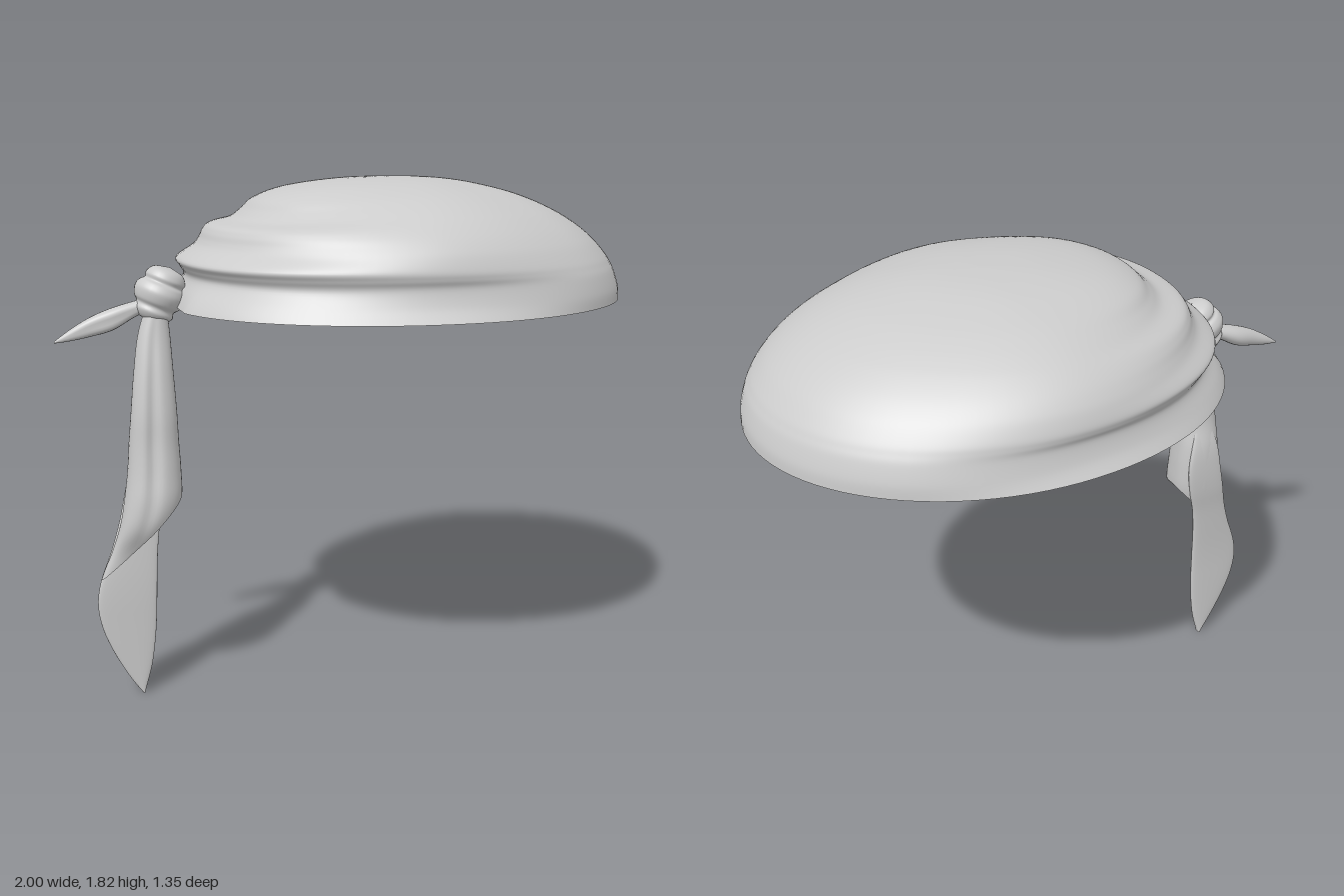
import * as THREE from 'three';
import { mergeVertices } from 'three/addons/utils/BufferGeometryUtils.js';

const TAU = Math.PI * 2;
const material = new THREE.MeshStandardMaterial({ color: 0xcccccc, side: THREE.DoubleSide });
const { smoothstep, lerp } = THREE.MathUtils;

// Smooth grid surface from point(u, v), u running around and v along, both 0..1
function loft(name, nu, nv, point) {
  const pos = [], index = [];
  for (let j = 0; j <= nv; j++)
    for (let i = 0; i <= nu; i++) pos.push(...point((i % nu) / nu, j / nv));
  for (let j = 0; j < nv; j++)
    for (let i = 0; i < nu; i++) {
      const a = j * (nu + 1) + i, b = a + 1, c = a + nu + 1, d = c + 1;
      index.push(a, c, b, b, c, d);
    }
  let geo = new THREE.BufferGeometry();
  geo.setAttribute('position', new THREE.Float32BufferAttribute(pos, 3));
  geo.setIndex(index);
  geo = mergeVertices(geo, 1e-5);
  geo.computeVertexNormals();
  const mesh = new THREE.Mesh(geo, material);
  mesh.name = name;
  return mesh;
}

// Smooth lookup through rows of [key, ...values]
function table(rows) {
  const n = rows[0].length - 1;
  const interp = new THREE.CubicInterpolant(rows.map(r => r[0]), rows.flatMap(r => r.slice(1)), n);
  return t => Array.from(interp.evaluate(t));
}

const spline = pts => new THREE.SplineCurve(pts.map(p => new THREE.Vector2(...p)));

// Cap profiles, rim to crown, as [fraction of rim radius, height]
const RIM = 1.407, TOP = 1.826;
const flankPoints = [[1, RIM], [.958, 1.45], [.935, 1.505], [.947, 1.535], [.95, 1.56],
  [.929, 1.6], [.901, 1.63], [.861, 1.66], [.807, 1.69], [.749, 1.715], [.659, 1.745],
  [.54, 1.775], [.36, 1.805], [.19, 1.82], [0, TOP]];
const flank = spline(flankPoints);
const smoothSide = spline(flankPoints.map(([, y]) =>
  [Math.sqrt(1 - ((y - RIM) / (TOP - RIM)) ** 2), y]));
const foldedSide = spline([[1, RIM], [.975, 1.45], [.94, 1.5], [.955, 1.53], [.97, 1.558],
  [.9, 1.597], [.873, 1.622], [.855, 1.65], [.825, 1.672], [.74, 1.69], [.69, 1.718],
  [.63, 1.758], [.49, 1.795], [.25, 1.82], [0, TOP]]);

function capPoint(u, v) {
  const a = u * TAU, c = Math.cos(a), s = Math.sin(a);
  const deg = Math.acos(c) * 180 / Math.PI;
  const p = smoothSide.getPoint(v)
    .lerp(flank.getPoint(v), smoothstep(deg, 50, 98))
    .lerp(foldedSide.getPoint(v), smoothstep(deg, 92, 155));
  // Oval rim, flattened only at the hem where the cloth is gathered
  const hem = 1 - smoothstep(p.y, RIM, 1.51);
  const x = c > 0 ? .8 * c : lerp(.8 * c, Math.max(-.8, .83 * c), hem);
  const z = .675 * Math.sign(s) * Math.abs(s) ** (c > 0 ? 1 : .92);
  return [.2 + x * p.x, p.y, z * p.x];
}

// Lining set slightly inside the cap, turned over a thin hem at the rim
function liningPoint(u, v) {
  const t = Math.max(0, (v - .02) / .98), [x, y, z] = capPoint(u, t);
  const k = v === 0 ? 1 : .975;
  return [.2 + (x - .2) * k, RIM + (y - RIM) * .95, z * k];
}

// Wrapped long tail: [height, left x, right x, back z, front z]
const wrap = table([
  [.4, -.9, -.67, -.03, .03], [.47, -.882, -.67, -.032, .035], [.56, -.845, -.66, -.036, .06],
  [.66, -.815, -.635, -.042, .115], [.75, -.797, -.605, -.055, .13], [.85, -.782, -.602, -.058, .122],
  [.95, -.773, -.606, -.052, .113], [1.05, -.764, -.61, -.03, .108], [1.2, -.747, -.617, -.022, .09],
  [1.32, -.727, -.622, -.02, .07], [1.43, -.69, -.63, -.02, .055],
]);

function wrapPoint(u, v) {
  const a = u * TAU, c = Math.cos(a), s = Math.sin(a);
  const end = .615 + .155 * c; // diagonal open hem
  const y = end + v * (1.43 - end);
  const [l, r, back, front] = wrap(y);
  const sag = 1 - .2 * Math.exp(-(((c + .15) / .25) ** 2)) * Math.max(0, s) * Math.sin(Math.PI * v);
  const bulge = Math.sign(s) * Math.abs(s) ** .75 * sag;
  return [(l + r) / 2 + c * (r - l) / 2, y, (back + front) / 2 + bulge * (front - back) / 2];
}

// Flat leaf-shaped end, running up the back of the wrap: [height, left x, right x, z]
const leaf = table([
  [.01, -.757, -.75, -.017], [.05, -.785, -.737, -.017], [.11, -.82, -.72, -.017],
  [.2, -.863, -.705, -.017], [.28, -.89, -.697, -.017], [.37, -.9, -.692, -.017],
  [.45, -.885, -.688, -.019], [.56, -.842, -.68, -.025], [.66, -.81, -.665, -.032],
  [.75, -.788, -.64, -.042], [.85, -.765, -.625, -.045], [.95, -.745, -.635, -.038],
  [1.05, -.715, -.655, -.012],
]);

function leafPoint(u, v) {
  const a = u * TAU, s = Math.sin(a), y = .01 + 1.04 * v, [l, r, z] = leaf(y);
  return [(l + r) / 2 + Math.cos(a) * (r - l) / 2, y, z + Math.sign(s) * Math.abs(s) ** .5 * .013];
}

// Short tail: [distance, x, y, half height, half depth]
const short = table([
  [0, -.66, 1.425, .02, .025], [.2, -.73, 1.402, .026, .035], [.45, -.81, 1.37, .037, .042],
  [.65, -.88, 1.348, .032, .03], [.85, -.95, 1.322, .018, .018], [1, -1, 1.302, .003, .003],
]);

function shortPoint(u, v) {
  const a = u * TAU, [x, y, h, d] = short(v);
  const crease = 1 - .25 * Math.max(0, Math.sin(a)) ** 6 * Math.sin(Math.PI * v);
  return [x, y + Math.cos(a) * h, Math.sin(a) * d * crease];
}

// Knot: bulging wraps of cloth stacked along a tilted axis
function createKnot() {
  const profile = spline([[.001, -.095], [.045, -.091], [.068, -.068], [.066, -.047], [.08, -.03],
    [.088, 0], [.079, .024], [.066, .036], [.069, .054], [.05, .08], [.001, .092]]);
  const knot = new THREE.Mesh(new THREE.LatheGeometry(profile.getPoints(50), 32), material);
  knot.name = 'knot';
  knot.rotation.z = -.4;
  knot.position.set(-.645, 1.45, 0);
  return knot;
}

export function createModel() {
  const model = new THREE.Group();
  model.name = 'headscarf';
  model.add(
    loft('cap', 96, 84, capPoint),
    loft('capLining', 96, 50, liningPoint),
    createKnot(),
    loft('longTailWrap', 48, 40, wrapPoint),
    loft('longTailEnd', 32, 40, leafPoint),
    loft('shortTail', 24, 20, shortPoint),
  );
  return model;
}
